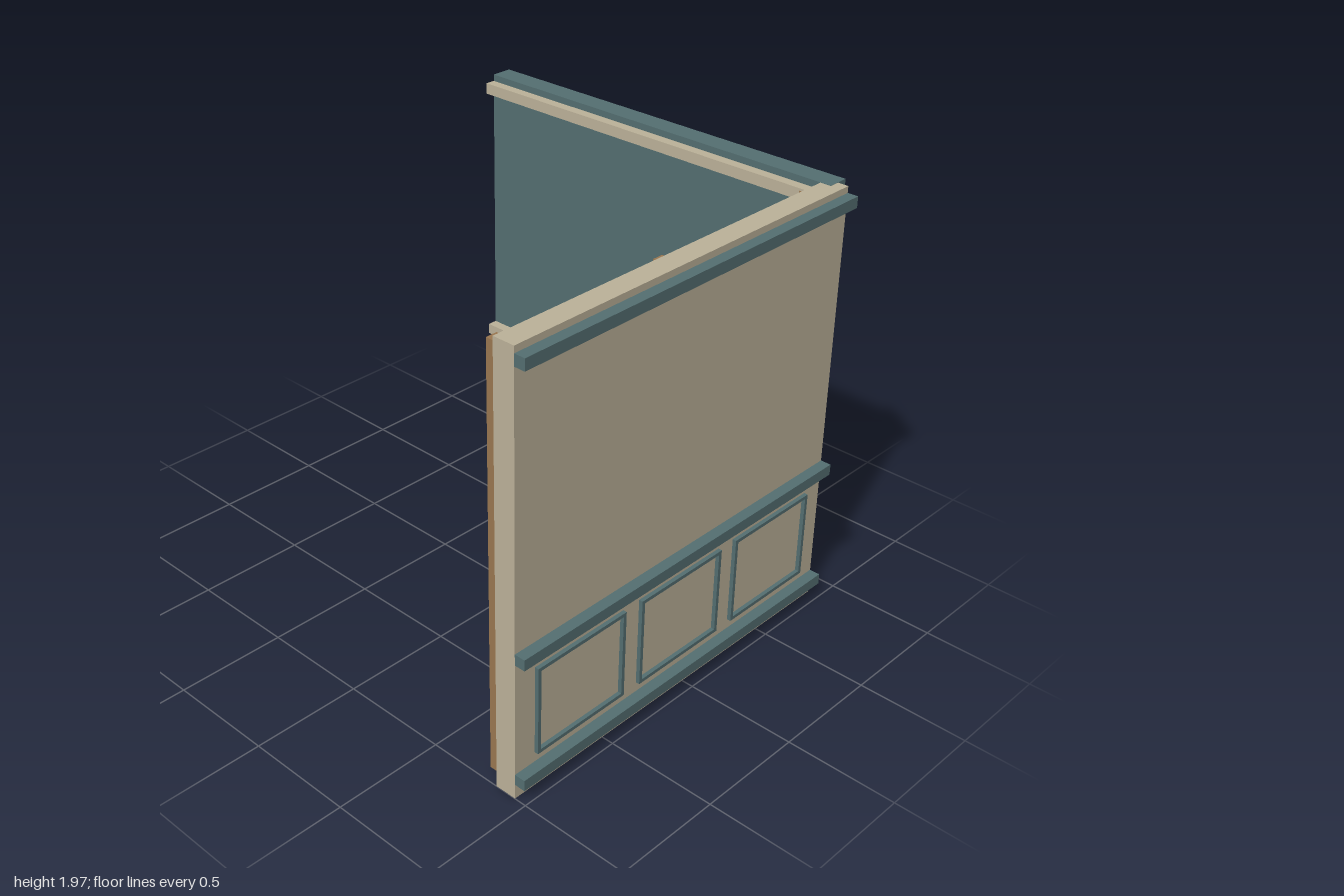
import * as THREE from 'three';

const material = (color) => new THREE.MeshStandardMaterial({ color, flatShading: true });

export function createModel() {
  const model = new THREE.Group();
  model.name = 'cornerWalls';
  const cream = material(0xbcb299);
  const teal = material(0x546f71);
  const wood = material(0x9a7750);

  // Box given by its lower and upper corners
  const box = (name, mat, [x0, y0, z0], [x1, y1, z1]) => {
    const mesh = new THREE.Mesh(new THREE.BoxGeometry(x1 - x0, y1 - y0, z1 - z0), mat);
    mesh.position.set((x0 + x1) / 2, (y0 + y1) / 2, (z0 + z1) / 2);
    mesh.name = name;
    model.add(mesh);
  };

  // Two walls meeting at the front corner; the side wall covers the joint
  box('frontWall', cream, [-1, 0.001, 0.845], [0.885, 1.969, 0.945]);
  box('sideWall', teal, [0.837, 0, -0.995], [0.937, 1.97, 0.895]);

  // Horizontal rails: outside the front wall, inside the side wall
  for (const y of [0.07, 0.645, 1.89]) {
    box('frontRail', teal, [-1, y, 0.945], [0.885, y + 0.05, 0.995]);
    box('sideRail', cream, [0.79, y, -0.995], [0.837, y + 0.05, 0.845]);
  }

  // Timber studs on the back of each wall
  for (const x of [-0.97, -0.107, 0.785])
    box('frontWallStud', wood, [x, 0.04, 0.782], [x + 0.051, 1.93, 0.845]);
  for (const z of [-0.944, -0.075, 0.753])
    box('sideWallStud', wood, [0.937, 0.04, z], [1, 1.93, z + 0.051]);

  // Raised rectangular mouldings on the lower front wall
  const rectangle = (path, inset) => {
    const w = 0.2475 - inset, h = 0.205 - inset;
    return path.moveTo(-w, -h).lineTo(w, -h).lineTo(w, h).lineTo(-w, h).closePath();
  };
  const outline = rectangle(new THREE.Shape(), 0);
  outline.holes.push(rectangle(new THREE.Path(), 0.016));
  const frame = new THREE.ExtrudeGeometry(outline, { depth: 0.018, bevelEnabled: false });
  for (const x of [-0.645, -0.056, 0.533]) {
    const mesh = new THREE.Mesh(frame, teal);
    mesh.position.set(x, 0.371, 0.945);
    mesh.name = 'panelMoulding';
    model.add(mesh);
  }

  return model;
}
